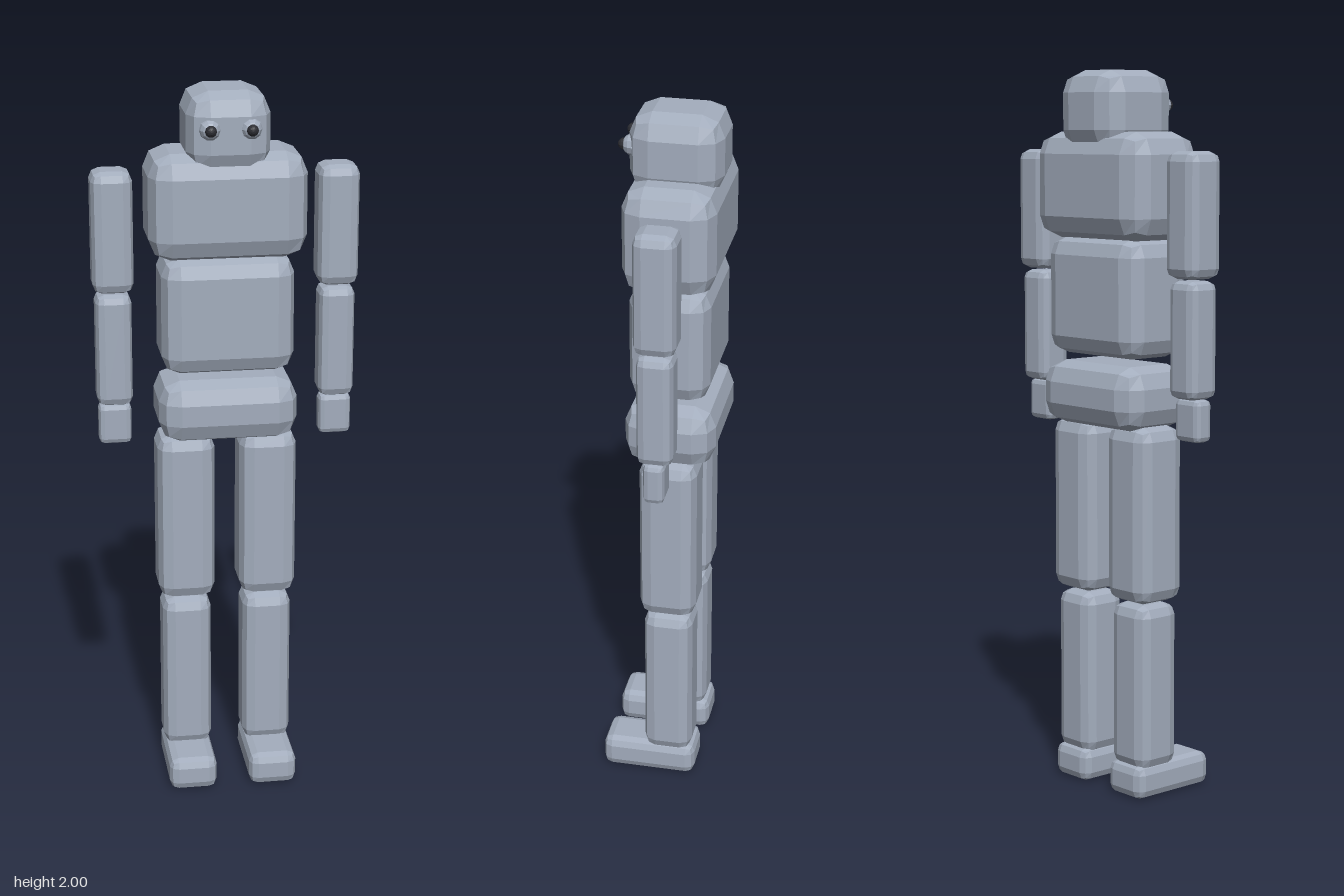
import * as THREE from 'three';
import { RoundedBoxGeometry } from 'three/addons/geometries/RoundedBoxGeometry.js';

export function createModel() {
  const model = new THREE.Group();
  model.name = 'jointedFigure';

  const body = new THREE.MeshStandardMaterial({ name: 'blueGrey', color: 0xa3adbd, flatShading: true });
  const dark = new THREE.MeshStandardMaterial({ name: 'pupilBlack', color: 0x2c2d33, flatShading: true });

  // Box with two-facet bevels, placed by its centre x, half width, y range and z range
  function block(name, x, halfWidth, y0, y1, z0, z1, bevel) {
    const geometry = new RoundedBoxGeometry(halfWidth * 2, y1 - y0, z1 - z0, 1, bevel);
    geometry.computeVertexNormals(); // unindexed, so this gives faceted normals
    const mesh = new THREE.Mesh(geometry, body);
    mesh.name = name;
    mesh.position.set(x, (y0 + y1) / 2, (z0 + z1) / 2);
    model.add(mesh);
  }

  function ball(name, x, y, z, radius, material) {
    const geometry = new THREE.SphereGeometry(radius, 10, 8).toNonIndexed();
    geometry.computeVertexNormals();
    geometry.rotateX(Math.PI / 2);
    const mesh = new THREE.Mesh(geometry, material);
    mesh.name = name;
    mesh.position.set(x, y, z);
    model.add(mesh);
  }

  // Head and torso
  block('head', 0, 0.113, 1.78, 2.0, -0.16, 0.09, 0.06);
  block('chest', 0, 0.215, 1.545, 1.835, -0.16, 0.09, 0.06);
  block('abdomen', 0, 0.182, 1.225, 1.55, -0.143, 0.077, 0.05);
  block('pelvis', 0, 0.192, 1.03, 1.205, -0.16, 0.09, 0.058);

  // Mirrored limbs and eyes
  for (const [side, s] of [['left', 1], ['right', -1]]) {
    block(side + 'UpperArm', s * 0.308, 0.056, 1.45, 1.785, -0.092, 0.022, 0.027);
    block(side + 'Forearm', s * 0.308, 0.049, 1.13, 1.445, -0.083, 0.015, 0.023);
    block(side + 'Hand', s * 0.308, 0.045, 1.015, 1.13, -0.06, -0.003, 0.015);
    block(side + 'Thigh', s * 0.115, 0.08, 0.55, 1.04, -0.113, 0.047, 0.038);
    block(side + 'Shin', s * 0.115, 0.069, 0.08, 0.545, -0.102, 0.036, 0.033);
    block(side + 'Foot', s * 0.115, 0.068, 0, 0.095, -0.112, 0.157, 0.025);

    ball(side + 'Eyeball', s * 0.055, 1.907, 0.08, 0.029, body);
    ball(side + 'Pupil', s * 0.055, 1.907, 0.104, 0.016, dark);
  }

  return model;
}
